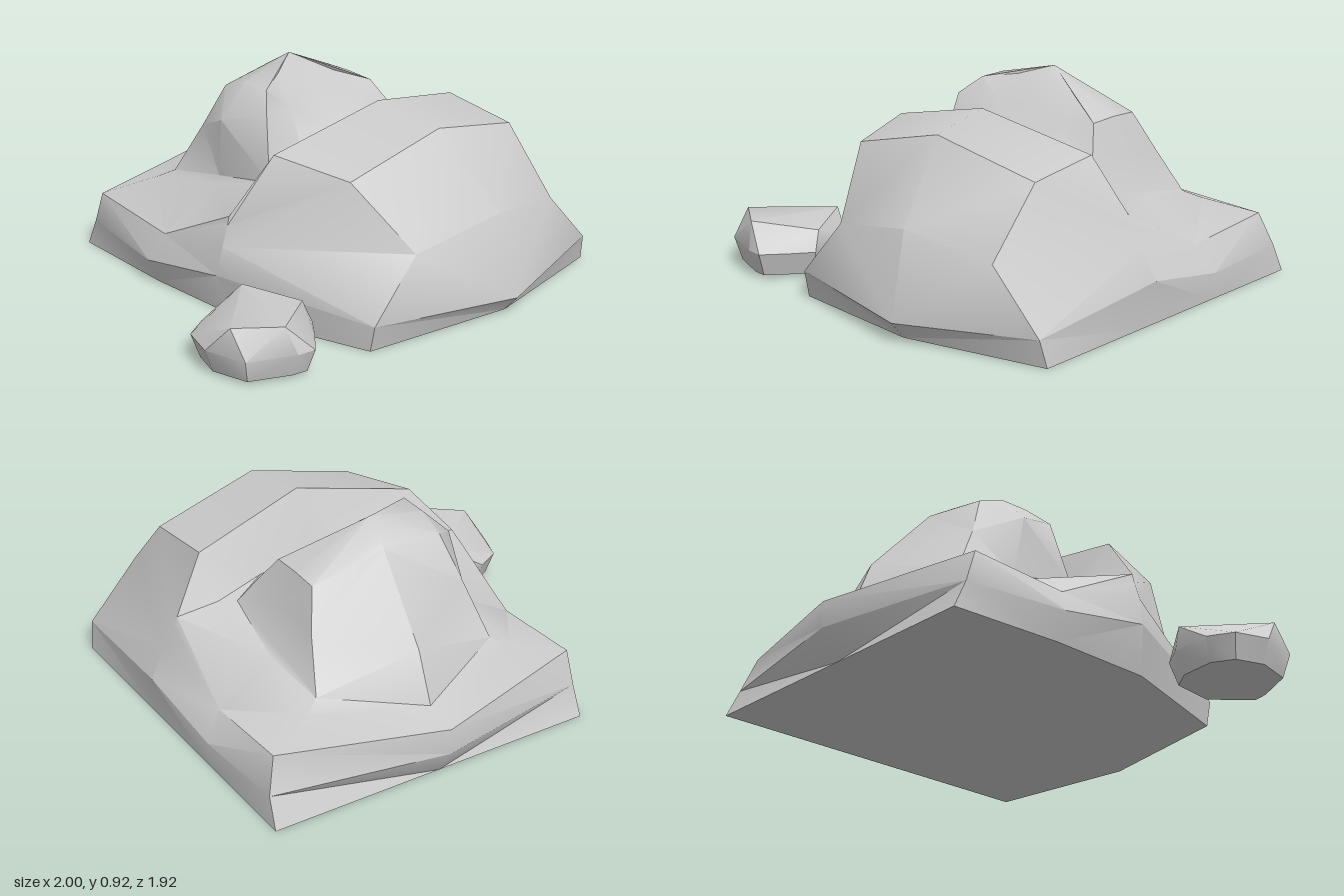
import * as THREE from 'three';
import { toCreasedNormals } from 'three/addons/utils/BufferGeometryUtils.js';
import { ConvexGeometry } from 'three/addons/geometries/ConvexGeometry.js';

const CREASE = 0.6;
const V = (x, y, z) => new THREE.Vector3(x, y, z);

// Half ring from back centre to front centre, closed round the other side.
// Each station is [x on +x side, x on -x side, y, z, optional y on -x side].
function ring(stations) {
  const plus = stations.map(([x, , y, z]) => V(x, y, z));
  const minus = stations.slice(1, -1).map(([, x, y, z, y2 = y]) => V(x, y2, z));
  return [...plus, ...minus.reverse()];
}

// Skin a stack of closed rings, with a fan at each end.
function loft(rings, bottom, apex) {
  const pos = [];
  const tri = (a, b, c) => {
    const area = b.clone().sub(a).cross(c.clone().sub(a)).length();
    if (area > 1e-6) for (const p of [a, b, c]) pos.push(p.x, p.y, p.z);
  };
  const n = rings[0].length;
  for (let i = 0; i < n; i++) {
    const k = (i + 1) % n;
    tri(bottom, rings[0][i], rings[0][k]);
    for (let j = 0; j < rings.length - 1; j++) {
      const a = rings[j][i], b = rings[j][k], c = rings[j + 1][i], d = rings[j + 1][k];
      if (a.distanceTo(d) < b.distanceTo(c)) { tri(a, c, d); tri(a, d, b); }
      else { tri(a, c, b); tri(b, c, d); }
    }
    const top = rings[rings.length - 1];
    tri(top[i], apex, top[k]);
  }
  const g = new THREE.BufferGeometry();
  g.setAttribute('position', new THREE.Float32BufferAttribute(pos, 3));
  return toCreasedNormals(g, CREASE);
}

export function createModel() {
  const group = new THREE.Group();
  const material = new THREE.MeshStandardMaterial({ color: 0xcccccc });
  const add = (name, geometry) => {
    const mesh = new THREE.Mesh(geometry, material);
    mesh.name = name;
    group.add(mesh);
  };

  // Stations: back, back corner, rear side, front side, shoulder, front
  const foot = [[.18, .18, 0, -.88], [.97, -.56, 0, -.88], [.97, -.58, 0, -.35],
    [.97, -.56, 0, .15], [.97, -.36, 0, .76], [.32, .32, .01, .89]];
  const skirt = [[.18, .18, .13, -.965], [.96, -.56, .13, -.82], [.98, -.635, .12, -.35],
    [1, -.625, .2, .1], [.95, -.36, .12, .785], [.32, .32, .09, .96]];
  // Rear ledge edge, shared by the three rings that climb the front lump
  const ledge = [[.18, .18, .25, -.965], [.91, -.555, .28, -.77], [.9, -.57, .24, -.31]];
  const face = [...ledge, [.93, -.6, .33, .11], [.71, -.13, .38, .79], [.3, .3, .46, .86]];
  const brow = [...ledge, [.88, -.57, .42, .11], [.71, -.26, .66, .53], [.22, .22, .78, .57]];
  const crest = [...ledge, [.86, -.56, .46, .11], [.71, -.36, .7, .17], [.18, .18, .825, .245]];
  // Groove around the rear lump, then the rear lump itself
  const groove = [[.18, .18, .28, -.81], [.68, -.33, .33, -.66], [.64, -.29, .4, -.3],
    [.68, -.33, .5, .07], [.45, -.08, .54, .11], [.15, .15, .57, .15]];
  const lumpFoot = [[.18, .18, .5, -.72], [.61, -.26, .36, -.61], [.61, -.26, .43, -.3],
    [.61, -.26, .5, .03], [.42, -.06, .59, .02], [.15, .15, .63, 0]];
  const lumpWaist = [[.16, .16, .83, -.42], [.55, -.2, .57, -.48, .6], [.55, -.28, .59, -.26, .71],
    [.55, -.21, .62, -.04, .78], [.35, -.02, .72, -.1, .75], [.15, .15, .78, -.13]];
  const lumpTop = [[.15, .15, .86, -.37], [.49, -.14, .74, -.39, .8], [.49, -.14, .745, -.26, .85],
    [.49, -.14, .74, -.12, .85], [.34, 0, .8, -.2, .87], [.15, .15, .87, -.22]];
  const rings = [foot, skirt, face, brow, crest, groove, lumpFoot, lumpWaist, lumpTop].map(ring);
  add('mainRock', loft(rings, V(.2, 0, 0), V(.14, .915, -.28)));

  // Small loose stone: flat top and bottom around a wider middle outline
  const outline = [[-1, .46], [-.95, .31], [-.84, .25], [-.65, .265], [-.54, .34],
    [-.51, .57], [-.58, .66], [-.67, .76], [-.75, .745], [-.95, .65]];
  const cap = [[-.95, .56], [-.65, .29], [-.53, .53], [-.78, .7]];
  const points = cap.map(([x, z], i) => V(x, i === 2 ? .21 : .24, z));
  for (const [x, z] of outline) {
    points.push(V(x, .12, z));
    points.push(V(-.75 + (x + .75) * .86, .015, .5 + (z - .5) * .86));
  }
  add('smallStone', toCreasedNormals(new ConvexGeometry(points), CREASE));

  return group;
}
